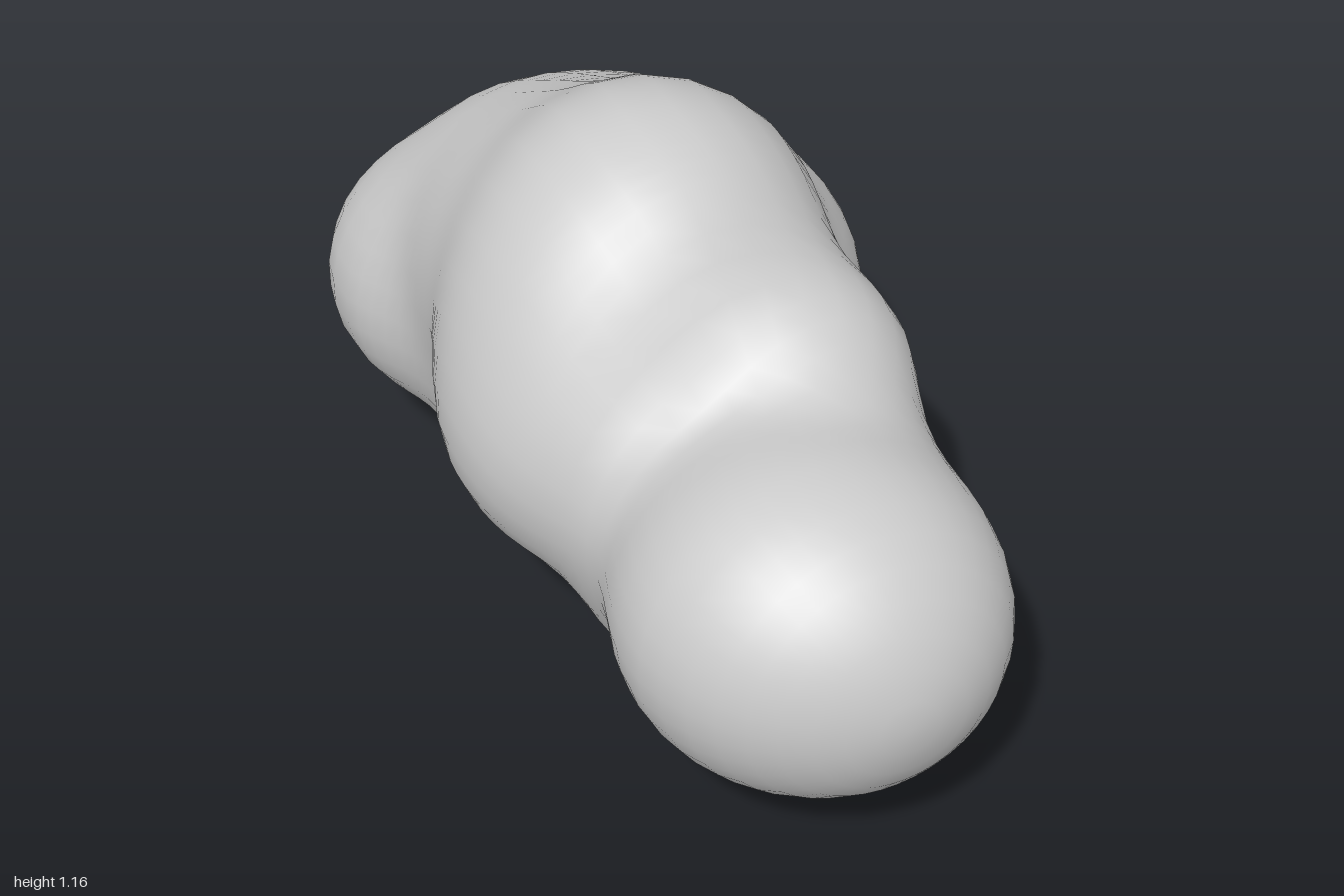
import * as THREE from 'three';
import { mergeVertices } from 'three/addons/utils/BufferGeometryUtils.js';

// Lobes of the lump: x, y, z, radius
const LOBES = [
  [-0.135, 0.47, 0.61, 0.337],  // front knob, -x half
  [-0.038, 0.46, 0.675, 0.338], // front knob, +x half
  [-0.10, 0.45, 0.33, 0.25],    // neck, -x side
  [0.05, 0.50, 0.46, 0.24],     // neck, +x side
  [0.035, 0.30, 0.25, 0.322],   // lower neck bulge
  [-0.08, 0.33, 0.22, 0.25],    // lower neck bulge, -x side
  [0.10, 0.68, 0.25, 0.25],     // upper neck bulge
  [0.07, 0.48, 0.25, 0.175],    // web between the neck bulges
  [0.09, 0.50, 0.05, 0.20],     // waist, +x side
  [0.00, 0.30, 0.00, 0.185],    // waist, underside
  [-0.04, 0.83, -0.07, 0.355],  // crown
  [-0.155, 0.74, -0.04, 0.31],  // crown slope, -x side
  [0.07, 0.72, -0.17, 0.265],   // crown slope, +x side
  [-0.19, 0.57, 0.02, 0.34],    // bulge on the -x side
  [0.175, 0.52, -0.27, 0.364],  // bulge on the +x side
  [0.00, 0.405, -0.32, 0.38],   // belly
  [-0.05, 0.70, -0.33, 0.295],  // shoulder behind the crown
  [-0.10, 0.65, -0.33, 0.285],  // shoulder, -x side
  [0.12, 0.47, -0.50, 0.288],   // rear flank
  [0.12, 0.63, -0.48, 0.27],    // rear flank, upper part
  [0.03, 0.33, -0.50, 0.26],    // rear underside
  [-0.05, 0.62, -0.55, 0.28],   // rear slope
  [-0.17, 0.45, -0.67, 0.297],  // rear corner
  [0.045, 0.385, -0.70, 0.317], // tail end
];
const BLEND = 0.05;
const TRIM = 0.026; // offsets the swelling caused by blending

// Smoothly blended distance to all lobes
function distance(p) {
  let sum = 0;
  for (const [x, y, z, r] of LOBES) {
    sum += Math.exp(-(Math.hypot(p.x - x, p.y - y, p.z - z) - r) / BLEND);
  }
  return -BLEND * Math.log(sum) + TRIM;
}

// Walk inwards along a ray until it meets the surface
function surfacePoint(origin, dir) {
  const p = new THREE.Vector3();
  let r = 0.95;
  for (let i = 0; i < 60; i++) {
    p.copy(origin).addScaledVector(dir, r);
    const d = distance(p);
    if (Math.abs(d) < 0.0005) break;
    r -= d * 0.9;
  }
  return p;
}

// Skin made of rings around a spine, closed by a rounded cap at each end
function lumpGeometry() {
  const spine = new THREE.CatmullRomCurve3([
    [-0.04, 0.42, -0.64], [0.04, 0.48, -0.3], [0, 0.57, -0.05],
    [0.02, 0.47, 0.25], [-0.09, 0.46, 0.64],
  ].map((p) => new THREE.Vector3(...p)));
  const SEGMENTS = 40, BODY = 34, CAP = 9;

  const rings = [];
  for (let i = 0; i < CAP; i++) rings.push([0, (i / CAP - 1) * Math.PI / 2]);
  for (let i = 0; i <= BODY; i++) rings.push([i / BODY, 0]);
  for (let i = 1; i <= CAP; i++) rings.push([1, (i / CAP) * Math.PI / 2]);

  const positions = [], index = [];
  rings.forEach(([t, tilt], i) => {
    const origin = spine.getPoint(t);
    const pole = i === 0 || i === rings.length - 1;
    const c = pole ? 0 : Math.cos(tilt);
    for (let j = 0; j < SEGMENTS; j++) {
      const a = (j / SEGMENTS) * Math.PI * 2;
      const dir = new THREE.Vector3(c * Math.cos(a), c * Math.sin(a), Math.sin(tilt));
      positions.push(...surfacePoint(origin, dir).toArray());
      if (i === rings.length - 1) continue;
      const k = (j + 1) % SEGMENTS;
      const p = i * SEGMENTS + j, q = i * SEGMENTS + k;
      if (i > 0) index.push(p, q, p + SEGMENTS);
      if (i < rings.length - 2) index.push(q, q + SEGMENTS, p + SEGMENTS);
    }
  });

  // Join the pole points so the shading stays smooth there
  const skin = new THREE.BufferGeometry();
  skin.setAttribute('position', new THREE.Float32BufferAttribute(positions, 3));
  skin.setIndex(index);
  const geometry = mergeVertices(skin, 1e-5);
  geometry.computeVertexNormals();
  return geometry;
}

export function createModel() {
  const group = new THREE.Group();
  group.name = 'lump';
  const body = new THREE.Mesh(
    lumpGeometry(),
    new THREE.MeshStandardMaterial({ color: 0xcccccc })
  );
  body.name = 'body';
  group.add(body);
  return group;
}
